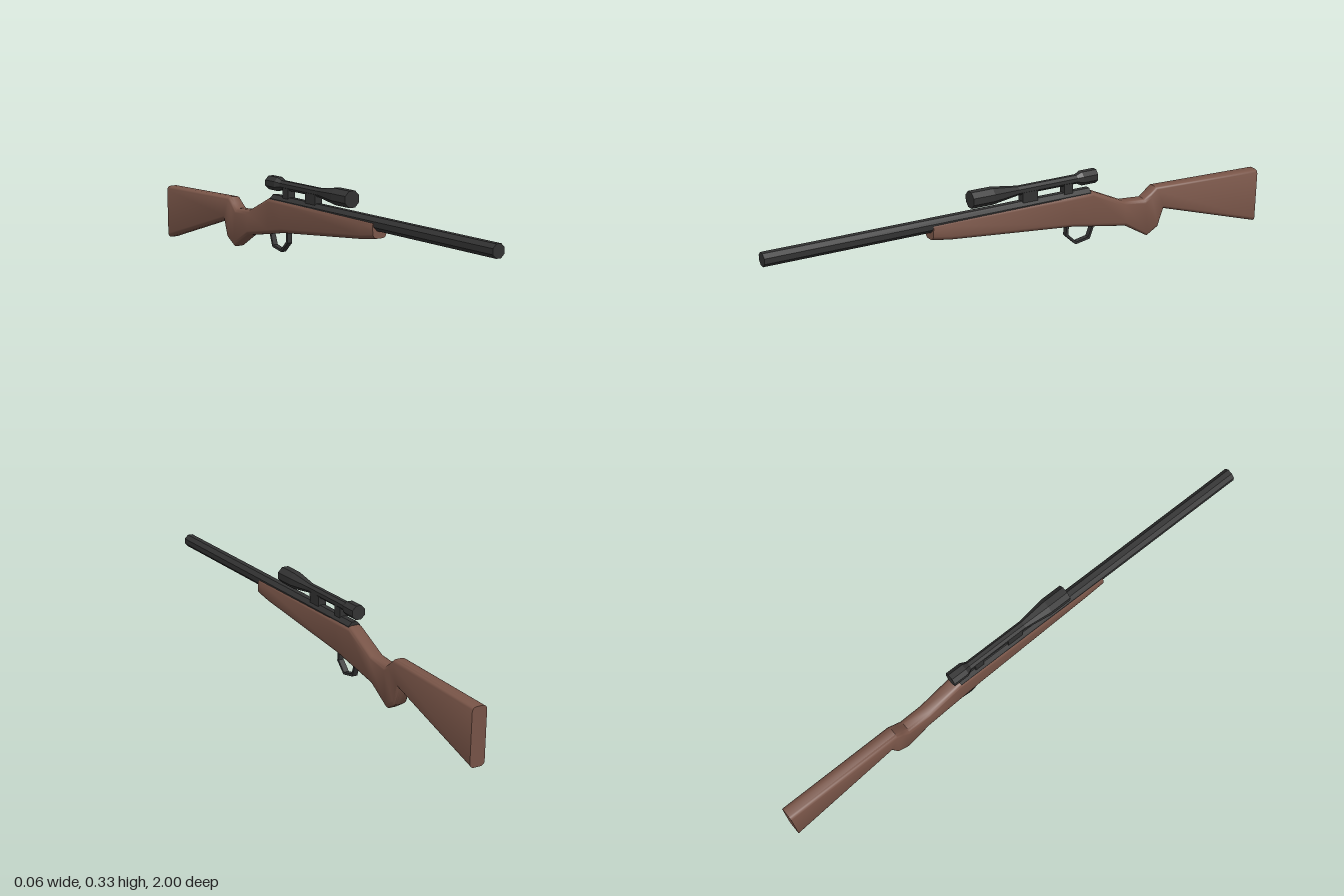
import * as THREE from 'three';
import { toCreasedNormals } from 'three/addons/utils/BufferGeometryUtils.js';

const wood = new THREE.MeshStandardMaterial({ color: 0x795548 });
const metal = new THREE.MeshStandardMaterial({ color: 0x333333, flatShading: true });

function add(group, name, geometry, material) {
  const mesh = new THREE.Mesh(geometry, material);
  mesh.name = name;
  group.add(mesh);
  return mesh;
}

// Eight-sided turned part lying along z; profile is [half width, z] from back to front.
function octagonal(profile) {
  const k = 1 / Math.cos(Math.PI / 8);
  const points = profile.map(([r, z]) => new THREE.Vector2(r * k, z));
  return new THREE.LatheGeometry(points, 8, Math.PI / 8).rotateX(Math.PI / 2);
}

// Rounded-rectangle sections lofted between top and bottom points of each station.
function loftStock(stations, halfWidth, radius) {
  const steps = 4, positions = [], index = [];
  const n = 4 * (steps + 1);
  for (const [zTop, yTop, zBottom, yBottom] of stations) {
    const half = Math.hypot(yTop - yBottom, zTop - zBottom) / 2;
    for (let q = 0; q < 4; q++) {
      const sx = q === 0 || q === 3 ? 1 : -1;
      const sv = q < 2 ? 1 : -1;
      for (let s = 0; s <= steps; s++) {
        const a = (q + s / steps) * Math.PI / 2;
        const x = sx * (halfWidth - radius) + radius * Math.cos(a);
        const v = sv * (half - radius) + radius * Math.sin(a);
        const t = 0.5 + v / (2 * half);
        positions.push(x, yBottom + (yTop - yBottom) * t, zBottom + (zTop - zBottom) * t);
      }
    }
  }
  for (let i = 0; i < stations.length - 1; i++) {
    for (let j = 0; j < n; j++) {
      const a = i * n + j, b = i * n + (j + 1) % n;
      index.push(a, a + n, b, b, a + n, b + n);
    }
  }
  const last = (stations.length - 1) * n;
  for (let j = 1; j < n - 1; j++) {
    index.push(0, j, j + 1, last, last + j + 1, last + j);
  }
  const geometry = new THREE.BufferGeometry();
  geometry.setAttribute('position', new THREE.Float32BufferAttribute(positions, 3));
  geometry.setIndex(index);
  return toCreasedNormals(geometry, 0.7);
}

export function createModel() {
  const model = new THREE.Group();
  model.name = 'scopedRifle';

  // Wooden stock: fore-end, grip and butt in one piece
  add(model, 'stock', loftStock([
    [0.38, 0.247, 0.385, 0.19],
    [0.31, 0.248, 0.31, 0.178],
    [-0.18, 0.25, -0.18, 0.13],
    [-0.265, 0.25, -0.265, 0.115],
    [-0.40, 0.187, -0.41, 0.09],
    [-0.49, 0.18, -0.505, 0.034],
    [-0.515, 0.198, -0.55, 0.06],
    [-0.54, 0.218, -0.575, 0.128],
    [-1, 0.206, -0.995, 0],
  ], 0.028, 0.016), wood);

  // Barrel
  const barrel = add(model, 'barrel', octagonal([
    [0, -0.257], [0.0235, -0.257], [0.0235, 1], [0, 1],
  ]), metal);
  barrel.position.y = 0.239;

  // Telescopic sight
  const scope = add(model, 'scope', octagonal([
    [0, -0.285], [0.025, -0.285], [0.025, -0.225], [0.016, -0.205],
    [0.016, 0.035], [0.0295, 0.14], [0.0295, 0.225], [0, 0.225],
  ]), metal);
  scope.position.y = 0.303;

  // Scope mounts
  for (const [name, z, length] of [['frontMount', -0.01, 0.062], ['rearMount', -0.168, 0.036]]) {
    add(model, name, new THREE.BoxGeometry(0.03, 0.05, length), metal).position.set(0, 0.274, z);
  }

  // Trigger guard: a bent strap made of an outer path and a path pulled in towards its centre
  const outer = [[-0.163, 0.135], [-0.161, 0.095], [-0.203, 0.056], [-0.262, 0.067], [-0.283, 0.122]];
  const inner = [[-0.173, 0.135], [-0.171, 0.099], [-0.206, 0.065], [-0.256, 0.075], [-0.274, 0.122]];
  const strap = new THREE.Shape(
    [...outer, ...inner.reverse()].map(([z, y]) => new THREE.Vector2(-z, y)));
  const guard = new THREE.ExtrudeGeometry(strap, { depth: 0.02, bevelEnabled: false });
  guard.translate(0, 0, -0.01).rotateY(Math.PI / 2);
  add(model, 'triggerGuard', guard, metal);

  return model;
}
